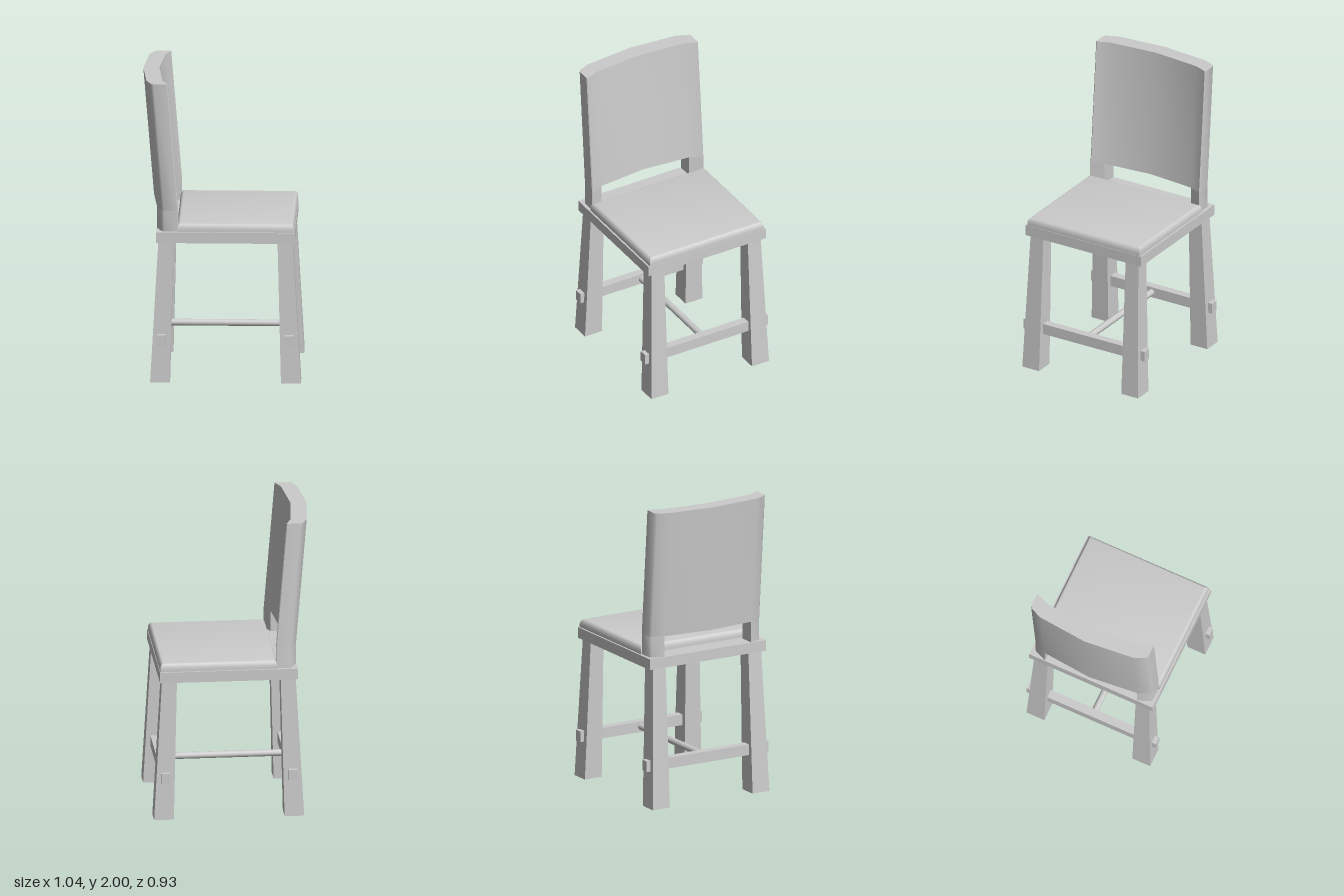
import * as THREE from 'three';
import { toCreasedNormals } from 'three/addons/utils/BufferGeometryUtils.js';

const material = new THREE.MeshStandardMaterial({ color: 0xcccccc });
const openMaterial = new THREE.MeshStandardMaterial({ color: 0xcccccc, side: THREE.DoubleSide });

export function createModel() {
  const chair = new THREE.Group();
  chair.name = 'chair';

  const add = (name, geometry, mat = material) => {
    const mesh = new THREE.Mesh(geometry, mat);
    mesh.name = name;
    chair.add(mesh);
    return mesh;
  };

  // Box given by its lower and upper bounds
  const addBox = (name, [x0, y0, z0], [x1, y1, z1]) =>
    add(name, new THREE.BoxGeometry(x1 - x0, y1 - y0, z1 - z0))
      .position.set((x0 + x1) / 2, (y0 + y1) / 2, (z0 + z1) / 2);

  // Plan outline of [x, z] points raised upwards from y
  const raise = (points, y, depth, options = { bevelEnabled: false }) => {
    const shape = new THREE.Shape(points.map(([x, z]) => new THREE.Vector2(x, -z)));
    return new THREE.ExtrudeGeometry(shape, { depth, ...options })
      .rotateX(-Math.PI / 2).translate(0, y, 0);
  };

  // Tapered square leg, open at the foot; spans are [min, max] at foot and top
  const legGeometry = (footX, topX, footZ, topZ) => {
    const geo = new THREE.CylinderGeometry(Math.SQRT1_2, Math.SQRT1_2, 1, 4, 1, true)
      .rotateY(Math.PI / 4).toNonIndexed();
    const pos = geo.attributes.position;
    const pick = (span, v) => (v > 0 ? span[1] : span[0]);
    for (let i = 0; i < pos.count; i++) {
      const top = pos.getY(i) > 0;
      pos.setXYZ(i, pick(top ? topX : footX, pos.getX(i)), top ? 0.945 : 0,
        pick(top ? topZ : footZ, pos.getZ(i)));
    }
    geo.computeVertexNormals();
    return geo;
  };

  // Legs
  for (const side of [1, -1]) {
    const sideName = side > 0 ? 'Near' : 'Far';
    const span = (a, b) => (side > 0 ? [a, b] : [-b, -a]);
    const foot = span(0.315, 0.443), top = span(0.315, 0.412);
    add('frontLeg' + sideName, legGeometry([0.388, 0.517], [0.365, 0.463], foot, top), openMaterial);
    add('backLeg' + sideName, legGeometry([-0.463, -0.335], [-0.41, -0.312], foot, top), openMaterial);
  }

  // Stretchers tenoned through the legs, joined by a round rod
  addBox('frontStretcher', [0.413, 0.25, -0.463], [0.469, 0.322, 0.463]);
  addBox('backStretcher', [-0.417, 0.25, -0.463], [-0.361, 0.322, 0.463]);
  const rod = add('stretcherRod', new THREE.CylinderGeometry(0.022, 0.022, 0.87, 16));
  rod.rotation.z = Math.PI / 2;
  rod.position.set(0.025, 0.287, 0);

  // Seat frame and padded seat with rounded, mitred rim
  addBox('seatFrame', [-0.423, 0.938, -0.442], [0.478, 1.01, 0.442]);
  const rim = 0.024;
  const pad = raise([[-0.289 + rim, 0.43 - rim], [0.475 - rim, 0.43 - rim],
    [0.475 - rim, -0.43 + rim], [-0.289 + rim, -0.43 + rim]], 1.0, 0.025,
  { bevelThickness: 0.04, bevelSize: rim, bevelSegments: 5 });
  add('seatPad', toCreasedNormals(pad, 0.7));

  // Backrest: bowed plan section leaning backwards
  const bottom = 1.15, height = 0.85, lean = 0.07;
  const half = [[-0.42, 0.33], [-0.388, 0.408], [-0.373, 0.42], [-0.285, 0.42], [-0.28, 0.414], [-0.315, 0.33]];
  const mirrored = half.map(([x, z]) => [x, -z]).reverse();
  const back = raise([[-0.45, 0], ...half, [-0.345, 0], ...mirrored], bottom, height);
  const pos = back.attributes.position;
  for (let i = 0; i < pos.count; i++) {
    pos.setX(i, pos.getX(i) - lean * (pos.getY(i) - bottom) / height);
  }
  add('backrest', toCreasedNormals(back, 0.8));

  // Upright posts carrying the backrest
  add('backPostNear', toCreasedNormals(raise(half, 1.0, bottom - 1.0), 0.8));
  add('backPostFar', toCreasedNormals(raise(mirrored, 1.0, bottom - 1.0), 0.8));

  return chair;
}
